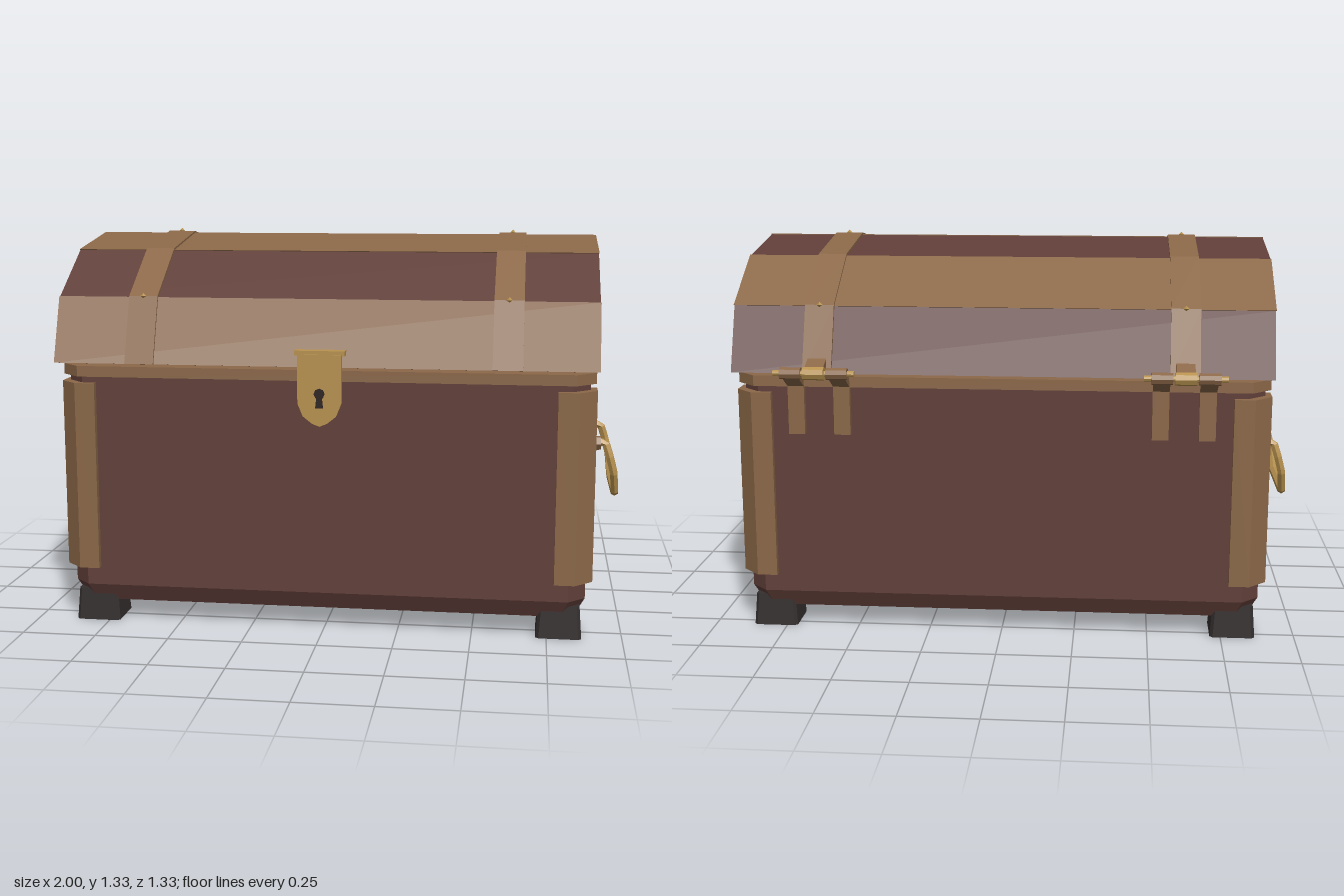
import * as THREE from 'three';

const mat = (name, color, side = THREE.FrontSide) => {
  const m = new THREE.MeshStandardMaterial({ color, flatShading: true, side });
  m.name = name;
  return m;
};

// Loft between eight-sided rings: [y, halfX, halfZ, cornerCut]
function octLoft(sections) {
  const rings = sections.map(([y, hx, hz, c]) => [
    [hx, hz - c], [hx, c - hz], [hx - c, -hz], [c - hx, -hz],
    [-hx, c - hz], [-hx, hz - c], [c - hx, hz], [hx - c, hz],
  ].map(([x, z]) => [x, y, z]));
  const pos = [];
  const tri = (...pts) => pts.forEach((p) => pos.push(...p));
  const last = rings.length - 1;
  for (let i = 0; i < 8; i++) {
    const j = (i + 1) % 8;
    for (let k = 0; k < last; k++) {
      const a = rings[k], b = rings[k + 1];
      tri(a[i], a[j], b[j]);
      tri(a[i], b[j], b[i]);
    }
    tri([0, sections[last][0], 0], rings[last][i], rings[last][j]);
    tri([0, sections[0][0], 0], rings[0][j], rings[0][i]);
  }
  const g = new THREE.BufferGeometry();
  g.setAttribute('position', new THREE.Float32BufferAttribute(pos, 3));
  g.computeVertexNormals();
  return g;
}

const extrude = (pts, depth) => new THREE.ExtrudeGeometry(
  new THREE.Shape(pts.map(([x, y]) => new THREE.Vector2(x, y))), { depth, bevelEnabled: false });

// Extrude a [z, y] outline along x, centred
const extrudeX = (pts, width) =>
  extrude(pts.map(([z, y]) => [-z, y]), width).translate(0, 0, -width / 2).rotateY(Math.PI / 2);

export function createModel() {
  const leather = mat('leather', 0x613f39);
  const trim = mat('trim', 0x8b6848);
  const brass = mat('brass', 0xb8924f);
  const footWood = mat('dark feet', 0x352f2f);
  const dark = mat('keyhole dark', 0x2b2220);

  const root = new THREE.Group();
  root.name = 'chest';
  const chest = new THREE.Group();
  chest.name = 'chestParts';
  chest.position.z = 0.022;
  root.add(chest);
  const add = (name, geo, material, x = 0, y = 0, z = 0, parent = chest) => {
    const m = new THREE.Mesh(geo, material);
    m.name = name;
    m.position.set(x, y, z);
    parent.add(m);
    return m;
  };

  // Body with chamfered bottom, and the rim around its top
  add('body', octLoft([[0.072, 0.845, 0.545, 0.05], [0.132, 0.875, 0.575, 0.057], [0.87, 0.875, 0.575, 0.057]]), leather);
  add('bodyRim', octLoft([[0.857, 0.893, 0.595, 0.065], [0.893, 0.893, 0.595, 0.065]]), trim);

  // Corner guards and feet
  const guard = [[0.77, 0.56], [0.77, 0.597], [0.838, 0.597], [0.897, 0.538], [0.897, 0.465], [0.86, 0.465], [0.86, 0.52], [0.82, 0.56]];
  const footGeo = octLoft([[0, 0.076, 0.076, 0.01], [0.11, 0.068, 0.068, 0.01]]);
  for (const sx of [-1, 1]) for (const sz of [-1, 1]) {
    const geo = extrude(guard.map(([x, z]) => [x * sx, z * sz]), 0.64).rotateX(-Math.PI / 2);
    add('cornerGuard', geo, trim, 0, 0.195, 0);
    add('foot', footGeo, footWood, sx * 0.79, 0, sz * 0.486);
  }

  // Faceted lid with alternating planks
  const arch = [[0.612, 0.905], [0.534, 1.12], [0.305, 1.264], [0, 1.311], [-0.305, 1.264], [-0.534, 1.12], [-0.612, 0.905]];
  const swell = (pts, k) => pts.map(([z, y]) => [z * k, 0.8 + (y - 0.8) * k]);
  const band = (pts, k, width) => extrudeX([...pts, ...swell(pts, k).reverse()], width);
  const lid = new THREE.Group();
  lid.name = 'lid';
  chest.add(lid);
  add('lidShell', extrudeX(arch, 1.796), leather, 0, 0, 0, lid);
  for (const i of [0, 2, 4]) add('lidPlank', band(arch.slice(i, i + 2), 1.005, 1.8), trim, 0, 0, 0, lid);
  add('lidLip', new THREE.BoxGeometry(1.804, 0.026, 1.11), trim, 0, 0.917, 0, lid);

  // Lid straps with studs at the bends
  const studGeo = new THREE.OctahedronGeometry(0.01);
  for (const x of [-0.607, 0.607]) {
    add('lidStrap', band(arch, 1.017, 0.097), trim, x, 0, 0, lid);
    for (const [z, y] of swell(arch.slice(1, 6), 1.018)) {
      if (Math.abs(z) < 0.2 || Math.abs(z) > 0.5) add('stud', studGeo, brass, x, y, z, lid);
    }
  }

  // Lock plate with keyhole
  const lock = new THREE.Group();
  lock.name = 'lock';
  chest.add(lock);
  add('lockPlate', extrude([[-0.072, 0.95], [-0.072, 0.79], [-0.055, 0.748], [-0.025, 0.724], [0, 0.714],
    [0.025, 0.724], [0.055, 0.748], [0.072, 0.79], [0.072, 0.95]], 0.026), brass, 0, 0, 0.615, lock);
  add('lockTop', new THREE.BoxGeometry(0.166, 0.016, 0.05), brass, 0, 0.954, 0.61, lock);
  add('keyholeRound', new THREE.CylinderGeometry(0.018, 0.018, 0.004, 8).rotateX(Math.PI / 2), dark, 0, 0.822, 0.642, lock);
  add('keyholeSlot', extrude([[-0.008, 0.82], [-0.013, 0.775], [0.013, 0.775], [0.008, 0.82]], 0.003), dark, 0, 0, 0.641, lock);

  // Side handles hanging from two mounts
  const half = [[0.92, 0.6, 0.18], [0.948, 0.593, 0.182], [0.962, 0.55, 0.187], [0.978, 0.49, 0.183], [0.985, 0.412, 0.15]];
  const points = [...half, ...half.map(([x, y, z]) => [x, y, -z]).reverse()];
  const mountGeo = new THREE.CylinderGeometry(0.025, 0.029, 0.06, 6).rotateZ(-Math.PI / 2);
  for (const side of [-1, 1]) {
    const handle = new THREE.Group();
    handle.name = side > 0 ? 'leftHandle' : 'rightHandle';
    if (side < 0) handle.rotation.y = Math.PI;
    chest.add(handle);
    const path = new THREE.CurvePath();
    const v = points.map((p) => new THREE.Vector3(...p));
    for (let i = 1; i < v.length; i++) path.add(new THREE.LineCurve3(v[i - 1], v[i]));
    add('handleBar', new THREE.TubeGeometry(path, 48, 0.015, 6), brass, 0, 0, 0, handle);
    for (const z of [-0.18, 0.18]) add('handleMount', mountGeo, trim, 0.9, 0.595, z, handle);
  }

  // Back hinges: barrel, lid arm and two body leaves
  const barrel = (r, len) => new THREE.CylinderGeometry(r, r, len, 8).rotateZ(Math.PI / 2);
  for (const x of [-0.607, 0.607]) {
    const hinge = new THREE.Group();
    hinge.name = 'hinge';
    hinge.position.x = x;
    chest.add(hinge);
    add('hingePin', barrel(0.01, 0.27), brass, 0, 0.915, -0.664, hinge);
    add('hingeKnuckle', barrel(0.022, 0.07), brass, 0, 0.915, -0.664, hinge);
    add('lidArm', extrudeX([[-0.58, 0.965], [-0.58, 0.935], [-0.66, 0.905], [-0.67, 0.928]], 0.062), trim, 0, 0, 0, hinge);
    for (const s of [-1, 1]) {
      add('sideKnuckle', barrel(0.02, 0.07), trim, s * 0.077, 0.915, -0.664, hinge);
      add('bodyArm', extrudeX([[-0.59, 0.885], [-0.59, 0.855], [-0.665, 0.898], [-0.66, 0.925]], 0.055), trim, s * 0.077, 0, 0, hinge);
      add('bodyLeaf', new THREE.BoxGeometry(0.055, 0.19, 0.028), trim, s * 0.077, 0.79, -0.583, hinge);
    }
  }
  return root;
}
